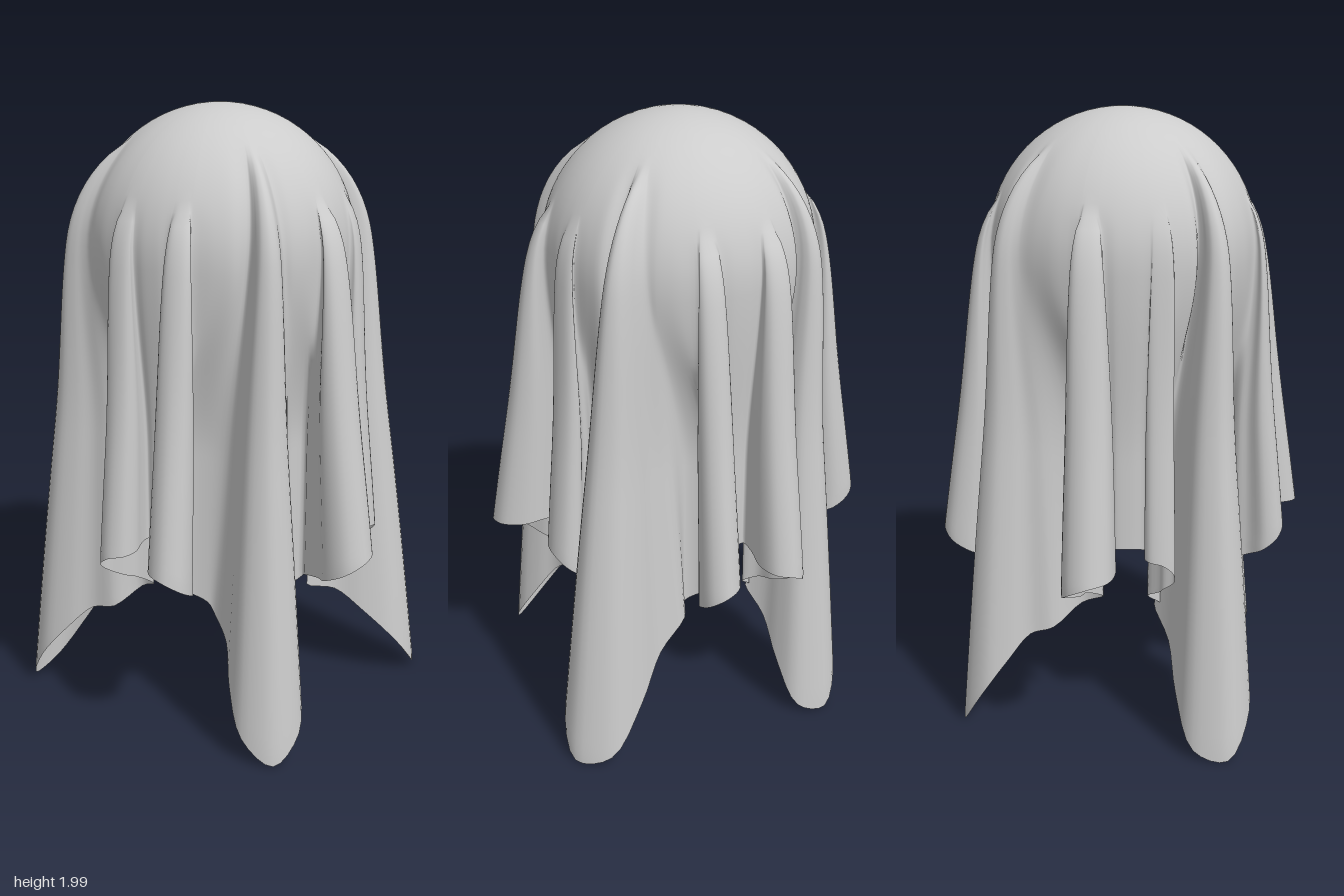
import * as THREE from 'three';

const { clamp, degToRad, lerp, smoothstep } = THREE.MathUtils;
const DOME_R = 0.43, DOME_Y = 1.57, WALL_R = 0.39;
const DOME_ROWS = 18, SKIRT_ROWS = 36, SUB = 4;

// Folds around the cloth: neck angle in degrees, tip x, tip z, width, lean of the hem.
// Every group of three is side fold, corner fold, side fold.
const folds = [
  [12, 0.62, 0.17, 0.16, 0], [42, 0.445, 0.45, 0.24, 0], [76, 0.14, 0.61, 0.14, 0],
  [103, -0.10, 0.54, 0.12, 0], [140, -0.56, 0.335, 0.25, -0.08], [164, -0.45, 0.125, 0.10, 0],
  [194, -0.63, -0.11, 0.17, 0], [232, -0.30, -0.53, 0.23, -0.08], [256, -0.11, -0.60, 0.14, 0],
  [285, 0.13, -0.61, 0.13, 0], [317, 0.575, -0.40, 0.27, 0.08], [346, 0.52, -0.13, 0.14, 0],
];

// Fold outlines: distance along the axis, distance across it, hem height
const mirror = (outline) => outline.map(([l, c, h]) => [l, -c, h]).reverse();
const sideFold = [[0, -0.7, 0.66], [0.28, -0.8, 0.66], [0.58, -1, 0.65], [0.88, -0.75, 0.645],
  [1, 0, 0.635], [0.88, 0.75, 0.6], [0.58, 0.95, 0.56], [0.28, 0.4, 0.53], [0, 0.2, 0.51]];
const cornerFold = [[-0.25, -1.3, 0.4], [0.1, -1.05, 0.34], [0.45, -1.05, 0.23], [0.82, -0.8, 0.09],
  [1, 0, 0.01], [0.82, 0.8, 0.09], [0.45, 1.05, 0.23], [0.1, 1.05, 0.34], [-0.25, 1.3, 0.4]];
const outlines = [sideFold, cornerFold, mirror(sideFold)];

// Valleys after a fold: share of the gap at the top and at the hem, hem radius, hem height
const valleys = [
  [[0.38, -0.1, 0.345, 0.48], [0.62, 0.25, 0.33, 0.44]],
  [[0.38, 0.75, 0.33, 0.44], [0.62, 1.1, 0.345, 0.48]],
  [[0.38, 0.38, WALL_R, 0.665], [0.62, 0.62, WALL_R, 0.665]],
];

// How far the cloth has sunk below the widest ring of the dome, 0 to 1
const sink = (y) => 1 - smoothstep(y, 0.95, DOME_Y);

// Columns of the cloth, each with a hem height and a rule for its place
function makeColumns() {
  const columns = [];
  folds.forEach(([deg, tipX, tipZ, width, lean], i) => {
    const kind = i % 3, corner = kind === 1;
    const a = degToRad(deg);
    const top = corner ? 1.88 : 1.72, low = corner ? 0.03 : 0.62;

    outlines[kind].forEach(([along, across, hem], k) => {
      columns.push({
        hem: hem + lean * along * across,
        place(y, r) {
          const t = clamp((top - y) / (top - low), 0, 1);
          const g = Math.pow(t, 0.7);
          const w = width * 0.5 * across * Math.pow(t, corner ? 0.85 : 0.4);
          const b = a + (k - 4) * 0.0175 * (1 - g);
          const ax = tipX - Math.cos(a) * r, az = tipZ - Math.sin(a) * r;
          const side = w / Math.hypot(ax, az);
          return new THREE.Vector3(
            Math.cos(b) * r + ax * along * g - az * side, y,
            Math.sin(b) * r + az * along * g + ax * side);
        },
      });
    });

    // Valley up to the next fold, tucked in behind the side folds
    const next = folds[(i + 1) % folds.length][0] + (i === folds.length - 1 ? 360 : 0);
    for (const [f0, f1, radius, hem] of valleys[kind]) {
      columns.push({
        hem,
        place(y, r) {
          const s = sink(y);
          const v = degToRad(lerp(deg, next, lerp(f0, f1, s)));
          const q = r - (WALL_R - radius) * s;
          return new THREE.Vector3(Math.cos(v) * q, y, Math.sin(v) * q);
        },
      });
    }
  });
  return columns;
}

function makeCloth() {
  const columns = makeColumns();
  const n = columns.length * SUB, rows = DOME_ROWS + SKIRT_ROWS;
  const positions = [], index = [];
  for (let k = 0; k <= rows; k++) {
    const points = columns.map((c) => {
      if (k <= DOME_ROWS) {
        const p = (k / DOME_ROWS) * Math.PI / 2;
        return c.place(DOME_Y + DOME_R * Math.cos(p), DOME_R * Math.sin(p));
      }
      const y = lerp(DOME_Y, c.hem, (k - DOME_ROWS) / SKIRT_ROWS);
      return c.place(y, lerp(DOME_R, WALL_R, sink(y)));
    });
    const ring = new THREE.CatmullRomCurve3(points, true);
    for (let j = 0; j < n; j++) positions.push(...ring.getPoint(j / n).toArray());
  }
  for (let k = 0; k < rows; k++) {
    for (let j = 0; j < n; j++) {
      const a = k * n + j, b = k * n + (j + 1) % n;
      if (k > 0) index.push(a, b, a + n);
      index.push(b, b + n, a + n);
    }
  }
  const geometry = new THREE.BufferGeometry();
  geometry.setAttribute('position', new THREE.Float32BufferAttribute(positions, 3));
  geometry.setIndex(index);
  geometry.computeVertexNormals();
  // Clean crown
  for (let j = 0; j < n; j++) geometry.attributes.normal.setXYZ(j, 0, 1, 0);
  return geometry;
}

export function createModel() {
  const group = new THREE.Group();
  group.name = 'drapedCloth';
  const sheet = new THREE.MeshStandardMaterial({ color: 0xcccccc, side: THREE.DoubleSide });
  sheet.name = 'light grey cloth';
  const cloth = new THREE.Mesh(makeCloth(), sheet);
  cloth.name = 'clothSheet';
  group.add(cloth);
  return group;
}
